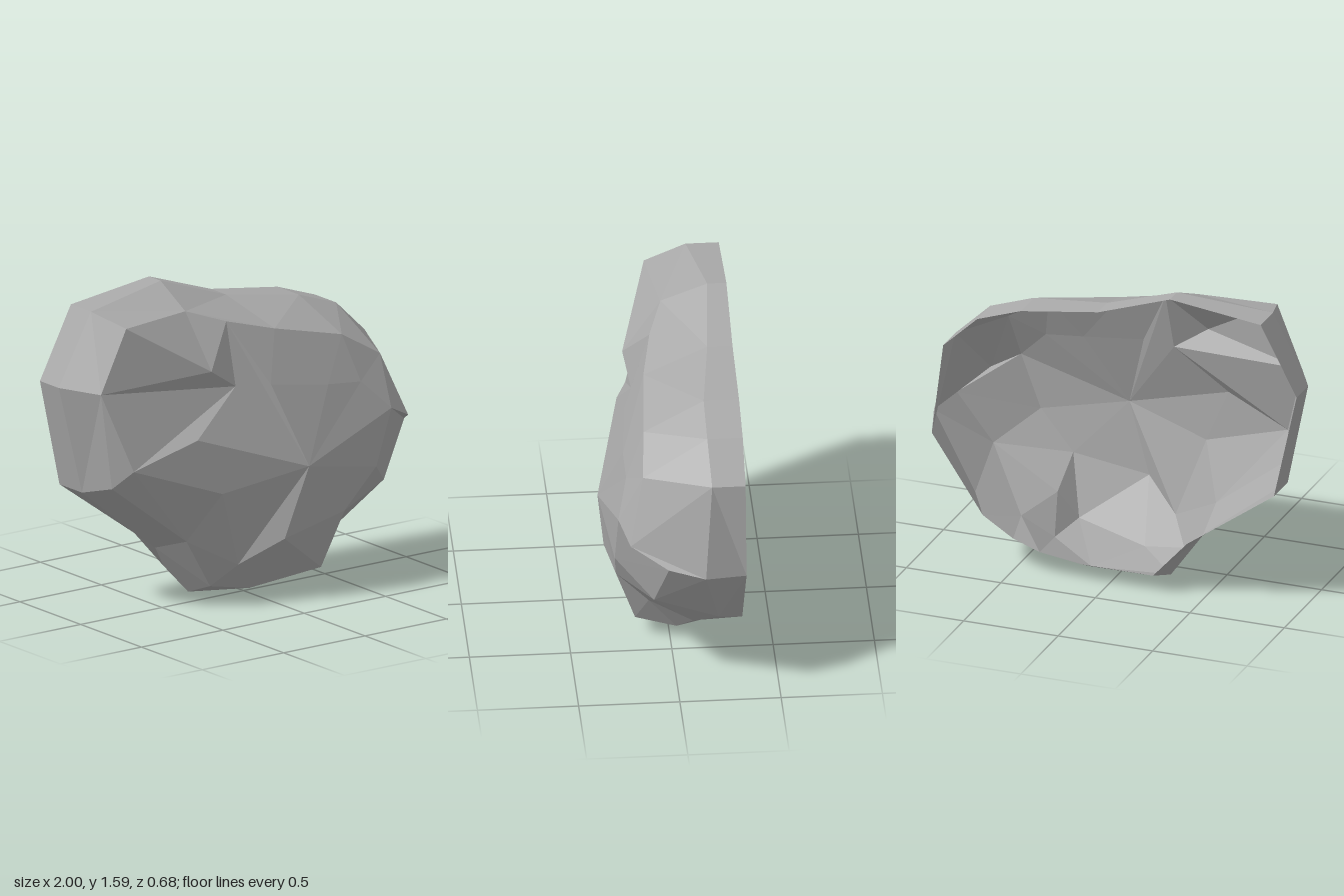
import * as THREE from 'three';

const stone = new THREE.MeshStandardMaterial({ color: 0xa9a9a9, flatShading: true, side: THREE.DoubleSide });
stone.name = 'grey stone';

// Cross-section loops, clockwise from the upper left corner
const side = [
  [-.81, 1.53, -.17], [-.33, 1.59, -.24], [.05, 1.46, -.21], [.46, 1.40, -.16],
  [.69, 1.32, -.16], [.87, 1.15, -.17], [1, .70, -.13], [.75, .33, -.21],
  [.55, .19, -.10], [.40, .07, -.03], [.16, 0, -.15], [-.25, .01, -.12],
  [-.43, .26, -.15], [-.88, .62, -.15], [-1, 1.17, -.18], [-1, 1.17, -.18],
];
const shoulder = [
  [-.75, 1.48, .04], [-.35, 1.49, -.01], [.11, 1.35, .11], [.50, 1.26, .14],
  [.72, 1.13, .16], [.84, .81, .23], [.95, .73, .05], [.78, .46, .11],
  [.44, .25, .11], [.35, .10, .17], [-.03, .04, .09], [-.25, .08, .06],
  [-.41, .34, .08], [-.83, .67, .03], [-.89, 1.16, .02], [-.89, 1.16, .02],
];
const lip = [-.33, 1.22, .18];
const notch = [-.16, 1.11, .15];
const face = [
  lip, [-.15, 1.42, .06], [.02, 1.10, .20], [.35, 1.05, .23],
  [.55, 1.03, .23], [.70, .88, .28], [.70, .88, .28], [.60, .60, .29],
  [.42, .40, .27], [.42, .40, .27], [.03, .33, .30], [-.16, .20, .17],
  [-.30, .60, .23], [-.77, .77, .13], notch, lip,
];
const cheek = [-.43, .89, .20];
const peak = [.15, .69, .34];

// Open back edge: the side loop pushed to the back plane, drawn in along the bottom
const backEdge = side.map(([x, y]) => [x, y, -.335]);
[[.93, .67], [.66, .27], [.50, .17], [.36, .12], [.14, .09], [-.24, .09], [-.42, .29]]
  .forEach(([x, y], i) => { backEdge[6 + i] = [x, y, -.335]; });

const same = (a, b) => a.every((v, i) => v === b[i]);
const dist = (a, b) => Math.hypot(a[0] - b[0], a[1] - b[1], a[2] - b[2]);

export function createModel() {
  const positions = [];
  const tri = (a, b, c) => {
    if (!same(a, b) && !same(b, c) && !same(a, c)) positions.push(...a, ...b, ...c);
  };

  // Bands between neighbouring loops, split along the shorter diagonal
  const band = (outer, inner) => outer.forEach((a, i) => {
    const j = (i + 1) % outer.length;
    const b = outer[j], c = inner[i], d = inner[j];
    if (dist(a, d) <= dist(b, c)) { tri(a, c, d); tri(a, d, b); }
    else { tri(a, c, b); tri(b, c, d); }
  });
  band(backEdge, side);
  band(side, shoulder);
  band(shoulder, face);

  // Front facets around the peak, the cheek and the notch
  const fan = [...face.slice(1, 13), cheek, notch];
  fan.forEach((p, i) => tri(peak, fan[(i + 1) % fan.length], p));
  tri(lip, notch, face[1]);
  tri(face[12], cheek, face[13]);
  tri(face[13], cheek, notch);

  const geometry = new THREE.BufferGeometry();
  geometry.setAttribute('position', new THREE.Float32BufferAttribute(positions, 3));
  geometry.computeVertexNormals();
  const rock = new THREE.Mesh(geometry, stone);
  rock.name = 'rockShell';

  const group = new THREE.Group();
  group.name = 'rock';
  group.add(rock);
  return group;
}
